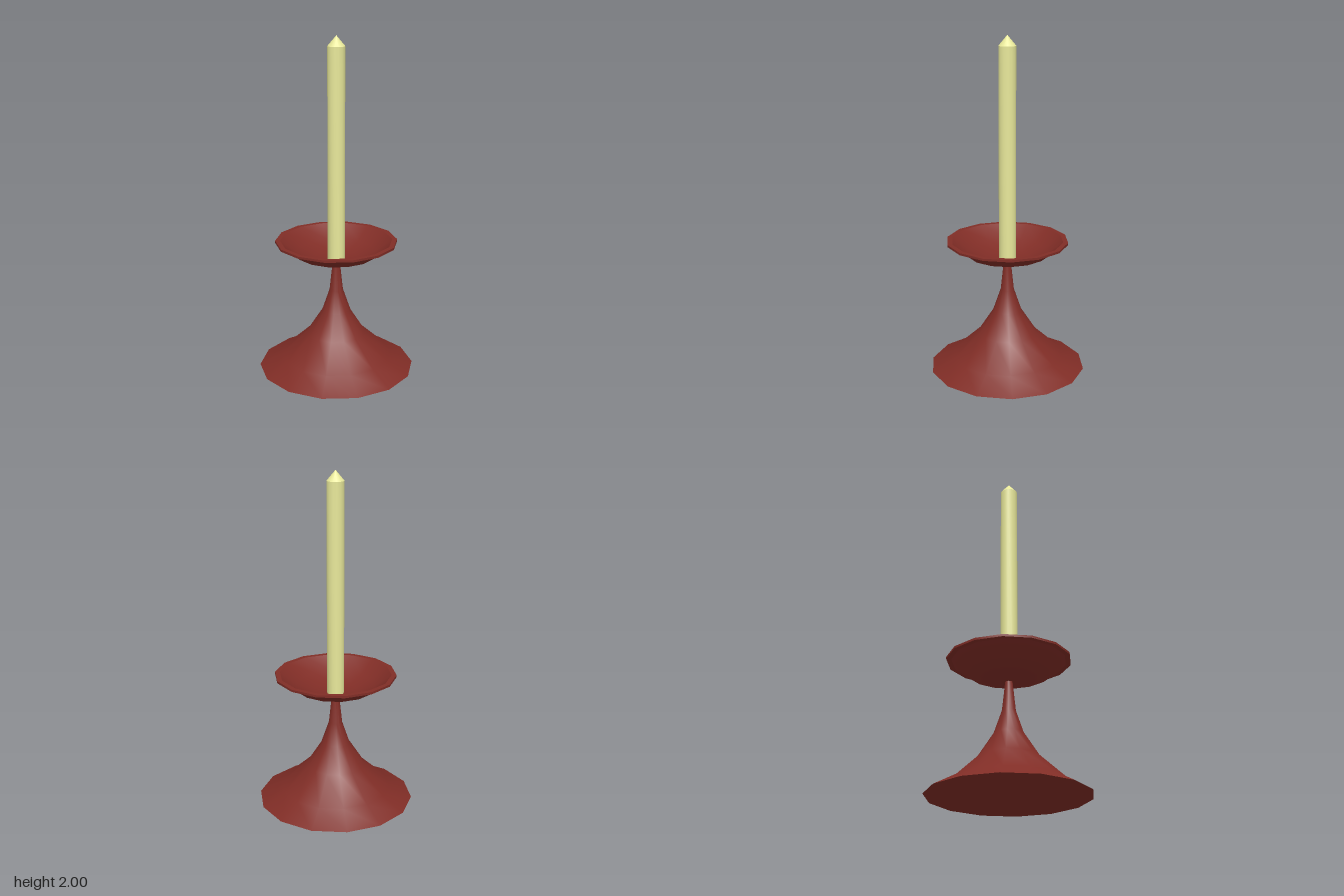
import * as THREE from 'three';
import { toCreasedNormals } from 'three/addons/utils/BufferGeometryUtils.js';

const SIDES = 14;

// Turned part: profile of [radius, height] pairs, with a corner pointing along +x
function turned(name, profile, material) {
  const points = profile.map(([r, y]) => new THREE.Vector2(r, y));
  const lathe = new THREE.LatheGeometry(points, SIDES, Math.PI / 2);
  const mesh = new THREE.Mesh(toCreasedNormals(lathe, 0.6), material);
  mesh.name = name;
  return mesh;
}

export function createModel() {
  const red = new THREE.MeshStandardMaterial({ color: 0x802d26 });
  const wax = new THREE.MeshStandardMaterial({ color: 0xe8e89a });

  const group = new THREE.Group();
  group.name = 'candlestick';

  // Flared foot narrowing into the stem, closed underneath
  group.add(turned('base', [
    [0, 0], [0.467, 0], [0.33, 0.075], [0.175, 0.217],
    [0.086, 0.355], [0.04, 0.49], [0.021, 0.668],
  ], red));

  // Thin drip bowl with a flat rim
  group.add(turned('bowl', [
    [0, 0.66], [0.13, 0.677], [0.24, 0.715], [0.333, 0.787], [0.362, 0.787],
    [0.362, 0.8], [0.333, 0.8], [0.235, 0.728], [0.128, 0.69], [0, 0.673],
  ], red));

  // Candle with a pointed tip
  group.add(turned('candle', [
    [0, 0.675], [0.051, 0.675], [0.051, 1.94], [0, 2],
  ], wax));

  return group;
}
